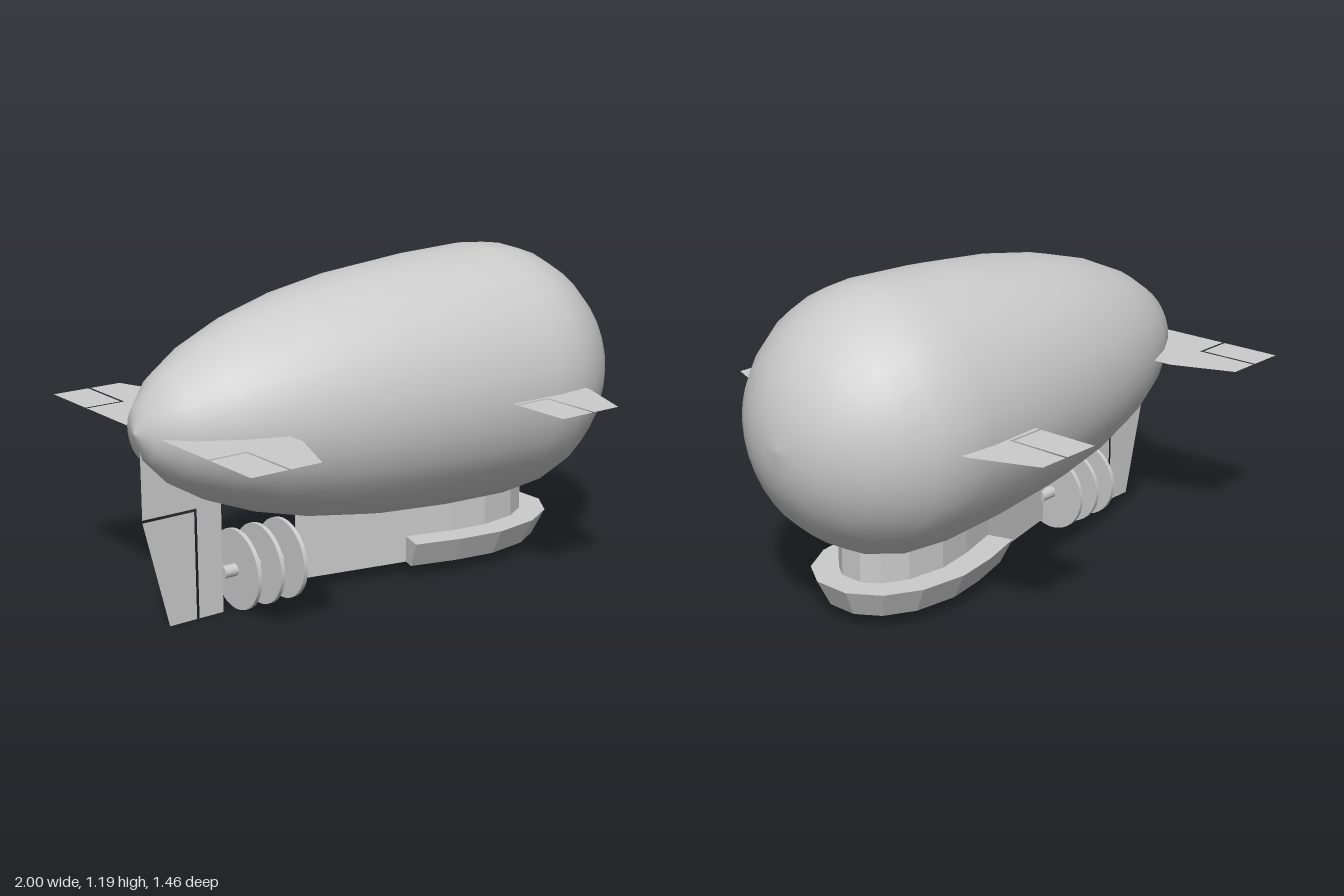
import * as THREE from 'three';

const smooth = new THREE.MeshStandardMaterial({ color: 0xcccccc });
const flat = new THREE.MeshStandardMaterial({ color: 0xcccccc, flatShading: true });
const thin = new THREE.MeshStandardMaterial({ color: 0xcccccc, side: THREE.DoubleSide });

const vec2 = ([x, y]) => new THREE.Vector2(x, y);
const AXIS_Y = 0.71;

function part(name, geometry, material) {
  const mesh = new THREE.Mesh(geometry, material);
  mesh.name = name;
  return mesh;
}

// Gas envelope: a teardrop turned about the x axis, flattened where it meets the gondola
function envelope() {
  const profile = [[0, -1], [0.095, -0.97], [0.19, -0.88], [0.275, -0.74], [0.345, -0.57], [0.405, -0.35],
    [0.447, -0.1], [0.473, 0.2], [0.483, 0.48], [0.473, 0.6], [0.442, 0.7], [0.385, 0.795], [0.32, 0.87],
    [0.24, 0.93], [0.16, 0.97], [0.08, 0.992], [0, 1]].map(vec2);
  const g = new THREE.LatheGeometry(profile, 32);
  g.rotateZ(-Math.PI / 2).translate(0, AXIS_Y, 0);
  const p = g.attributes.position;
  for (let i = 0; i < p.count; i++) p.setY(i, Math.max(p.getY(i), 0.247));
  return part('envelope', g, smooth);
}

// Half outline of the gondola in plan (x, z), from the tail to the nose
const half = [[-0.35, 0.004], [0.08, 0.1], [0.25, 0.15], [0.4, 0.175], [0.55, 0.155], [0.64, 0.105], [0.68, 0.045]];
const mirrored = (pts) => [...pts, ...pts.slice().reverse().map(([x, z]) => [x, -z])];

// Gondola body: the teardrop plan extruded up into the envelope
function gondola() {
  const g = new THREE.ExtrudeGeometry(new THREE.Shape(mirrored(half).map(vec2)), { depth: 0.35, bevelEnabled: false });
  g.rotateX(Math.PI / 2).translate(0, 0.4, 0);
  return part('gondola', g, flat);
}

// Horseshoe deck around the gondola, flaring outward toward the top
function deck() {
  const path = mirrored(half.slice(1)), n = path.length;
  const pos = [], idx = [];
  path.forEach(([x, z], i) => {
    const a = path[Math.max(i - 1, 0)], b = path[Math.min(i + 1, n - 1)];
    const nrm = new THREE.Vector2(a[1] - b[1], b[0] - a[0]).normalize();
    for (const [out, y] of [[-0.01, 0.05], [0.05, 0.05], [0.1, 0.15], [-0.01, 0.15]]) {
      pos.push(x + nrm.x * out, y, z + nrm.y * out);
    }
  });
  for (let i = 0; i < n - 1; i++) {
    for (let k = 0; k < 4; k++) {
      const p = i * 4 + k, q = i * 4 + (k + 1) % 4;
      idx.push(p, p + 4, q + 4, p, q + 4, q);
    }
  }
  const e = (n - 1) * 4;
  idx.push(0, 1, 2, 0, 2, 3, e, e + 2, e + 1, e, e + 3, e + 2);
  const g = new THREE.BufferGeometry();
  g.setAttribute('position', new THREE.Float32BufferAttribute(pos, 3));
  g.setIndex(idx);
  const faceted = g.toNonIndexed();
  faceted.computeVertexNormals();
  return part('deck', faceted, flat);
}

const panel = (name, pts) => part(name, new THREE.ShapeGeometry(new THREE.Shape(pts.map(vec2))), thin);

// A flat fin with its separate hinged flap, laid horizontally on one side
function sideFin(name, fin, flap, side) {
  const group = new THREE.Group();
  group.name = name;
  const flip = ([x, z]) => [x, z * side];
  group.add(panel('fin', fin.map(flip)), panel('flap', flap.map(flip)));
  group.rotation.x = Math.PI / 2;
  group.position.y = AXIS_Y;
  return group;
}

// Lower tail fin with rudder, standing in the middle plane
function tailFin() {
  const group = new THREE.Group();
  group.name = 'tailFin';
  group.add(
    panel('fin', [[-0.98, 0.7], [-0.98, 0.405], [-0.765, 0.405], [-0.765, 0], [-0.665, 0], [-0.665, 0.5]]),
    panel('rudder', [[-0.98, 0.395], [-0.775, 0.395], [-0.775, 0], [-0.885, 0]]));
  return group;
}

// Cylinder lying along x
function rod(name, x, radius, length, sides) {
  const mesh = part(name, new THREE.CylinderGeometry(radius, radius, length, sides), smooth);
  mesh.rotation.z = Math.PI / 2;
  mesh.position.set(x, 0.148, 0);
  return mesh;
}

export function createModel() {
  const model = new THREE.Group();
  model.name = 'airship';
  model.add(envelope(), gondola(), deck(), tailFin());

  for (const side of [1, -1]) {
    model.add(sideFin('tailplane',
      [[-0.96, 0], [-0.96, 0.392], [-0.81, 0.392], [-0.81, 0.635], [-0.69, 0.635], [-0.6, 0.405], [-0.6, 0]],
      [[-0.96, 0.402], [-0.82, 0.402], [-0.82, 0.635], [-0.96, 0.635]], side));
    model.add(sideFin('frontWing',
      [[0.26, 0.3], [0.26, 0.492], [0.41, 0.492], [0.41, 0.73], [0.525, 0.73], [0.62, 0.49], [0.62, 0.3]],
      [[0.26, 0.502], [0.4, 0.502], [0.4, 0.73], [0.26, 0.73]], side));
  }

  // Drive shaft with three discs between gondola and tail fin
  model.add(rod('shaft', -0.5, 0.023, 0.33, 16));
  for (const x of [-0.605, -0.508, -0.41]) model.add(rod('disc', x, 0.148, 0.016, 32));
  return model;
}
